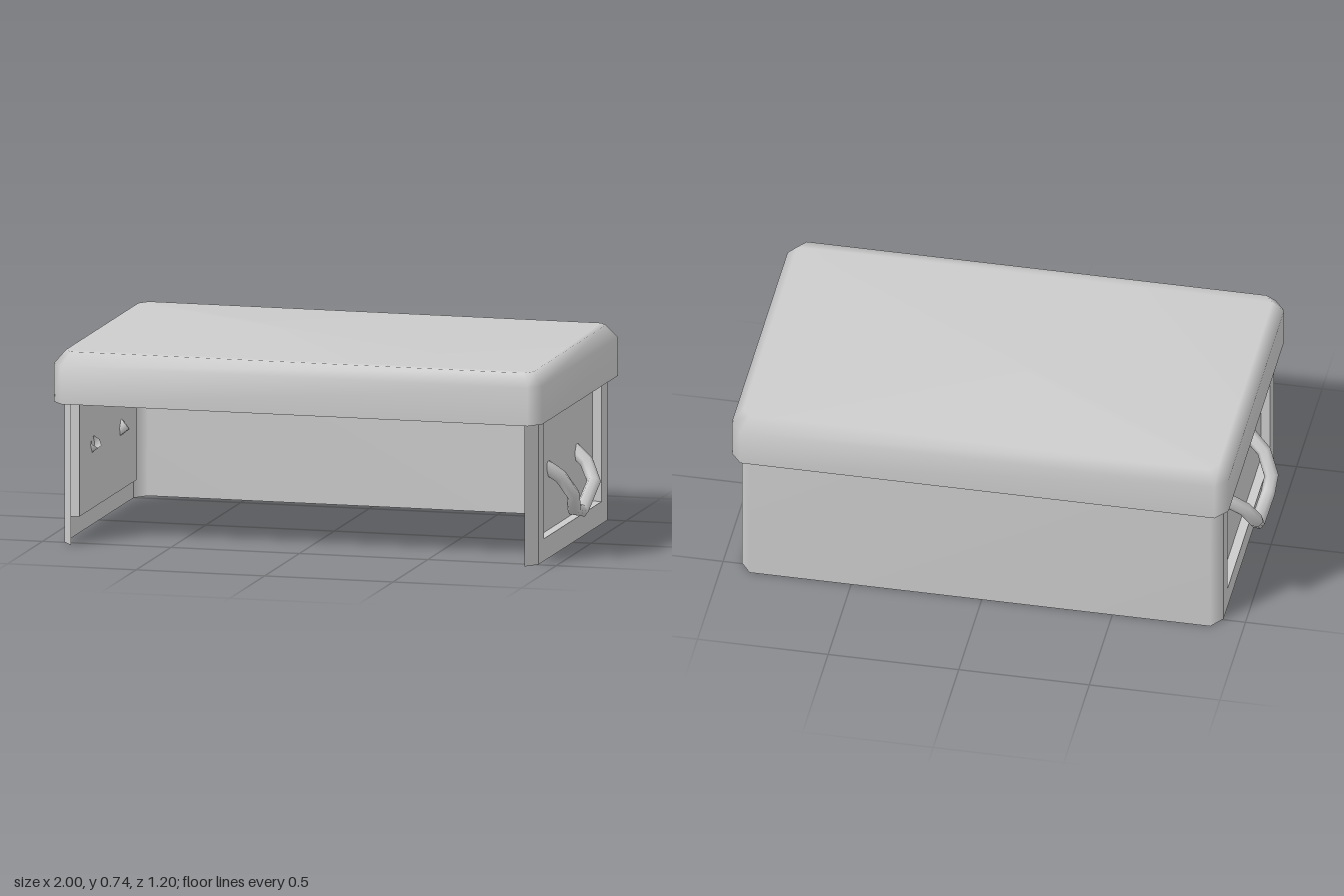
import * as THREE from 'three';

const material = new THREE.MeshStandardMaterial({ color: 0xcccccc, side: THREE.DoubleSide });

function mesh(name, geometry) {
  const m = new THREE.Mesh(geometry, material);
  m.name = name;
  return m;
}

// Skin between equal-length rings of [x, y, z] points, optionally closed and capped at the last ring
function loft(rings, { closed = false, cap = false, flat = false } = {}) {
  const n = rings[0].length, index = [];
  for (let r = 0; r < rings.length - 1; r++) {
    for (let i = 0; i < (closed ? n : n - 1); i++) {
      const a = r * n + i, b = r * n + (i + 1) % n;
      index.push(a, b, b + n, a, b + n, a + n);
    }
  }
  const last = (rings.length - 1) * n;
  if (cap) for (let i = 1; i < n - 1; i++) index.push(last, last + i, last + i + 1);
  let g = new THREE.BufferGeometry();
  g.setAttribute('position', new THREE.Float32BufferAttribute(rings.flat(2), 3));
  g.setIndex(index);
  if (flat) g = g.toNonIndexed();
  g.computeVertexNormals();
  return g;
}

// Rectangle with cut corners at height y, starting on the left side
function plan(y, hx, hz, cx, cz) {
  return [
    [hx, y, hz - cz], [hx, y, cz - hz], [hx - cx, y, -hz], [cx - hx, y, -hz],
    [-hx, y, cz - hz], [-hx, y, hz - cz], [cx - hx, y, hz], [hx - cx, y, hz],
  ];
}

// Polyline whose corner sections are mitred by averaged tangents
class Polyline extends THREE.CatmullRomCurve3 {
  constructor(points) { super(points, false, 'catmullrom', 0); }
  getPointAt(t, target) { return this.getPoint(t, target); }
  getTangentAt(t, target) { return this.getTangent(t, target); }
}

const HX = 0.922, HZ = 0.55, TOP = 0.56;

// Side wall with a sunken panel, facing +z before it is turned into place
function sideWall(name) {
  const wall = new THREE.Group();
  wall.name = name;
  const w = HZ - 0.055, pw = 0.415, p0 = 0.085, p1 = 0.55;
  const rect = (x, y0, y1) => [[-x, y0], [x, y0], [x, y1], [-x, y1]];
  const toPoints = (r) => r.map(([x, y]) => new THREE.Vector2(x, y));
  const frame = new THREE.Shape(toPoints(rect(w, 0, TOP)));
  frame.holes.push(new THREE.Path(toPoints(rect(pw, p0, p1))));
  wall.add(mesh('sideFrame', new THREE.ShapeGeometry(frame)));
  const rings = [0, -0.035].map((z) => rect(pw, p0, p1).map(([x, y]) => [x, y, z]));
  wall.add(mesh('sunkenPanel', loft(rings, { closed: true, cap: true, flat: true })));
  return wall;
}

// Drooping bar handle, its ends passing through the panel
function handle(side, name) {
  const points = [
    [0.865, 0.34, 0.23], [0.935, 0.285, 0.195], [0.972, 0.21, 0.15], [0.965, 0.15, 0.118],
    [0.955, 0.118, -0.03], [0.972, 0.212, -0.142], [0.935, 0.28, -0.172], [0.865, 0.335, -0.197],
  ].map(([x, y, z]) => new THREE.Vector3(side * x, y, z));
  const g = new THREE.TubeGeometry(new Polyline(points), points.length - 1, 0.027, 6);
  return mesh(name, g);
}

export function createModel() {
  const model = new THREE.Group();
  model.name = 'chest';

  // Walls: open at the front and underneath
  const body = new THREE.Group();
  body.name = 'body';
  body.position.x = 0.007;
  const low = plan(0, HX, HZ, 0.04, 0.055), high = plan(TOP, HX, HZ, 0.04, 0.055);
  const strip = (name, ids) =>
    body.add(mesh(name, loft([ids.map((i) => low[i]), ids.map((i) => high[i])])));
  strip('backWall', [1, 2, 3, 4]);
  strip('frontLeftCorner', [7, 0]);
  strip('frontRightCorner', [5, 6]);
  for (const [side, name] of [[1, 'leftWall'], [-1, 'rightWall']]) {
    const wall = sideWall(name);
    wall.rotation.y = side * Math.PI / 2;
    wall.position.x = side * HX;
    body.add(wall);
  }
  model.add(body);

  // Hollow lid with a bevelled top edge
  const lid = mesh('lid', loft([
    plan(0.545, 0.951, 0.6, 0.043, 0.055),
    plan(0.69, 0.951, 0.6, 0.043, 0.055),
    plan(0.74, 0.91, 0.56, 0.03, 0.04),
  ], { closed: true, cap: true }));
  lid.position.x = 0.007;
  model.add(lid);

  model.add(handle(1, 'leftHandle'), handle(-1, 'rightHandle'));
  return model;
}
